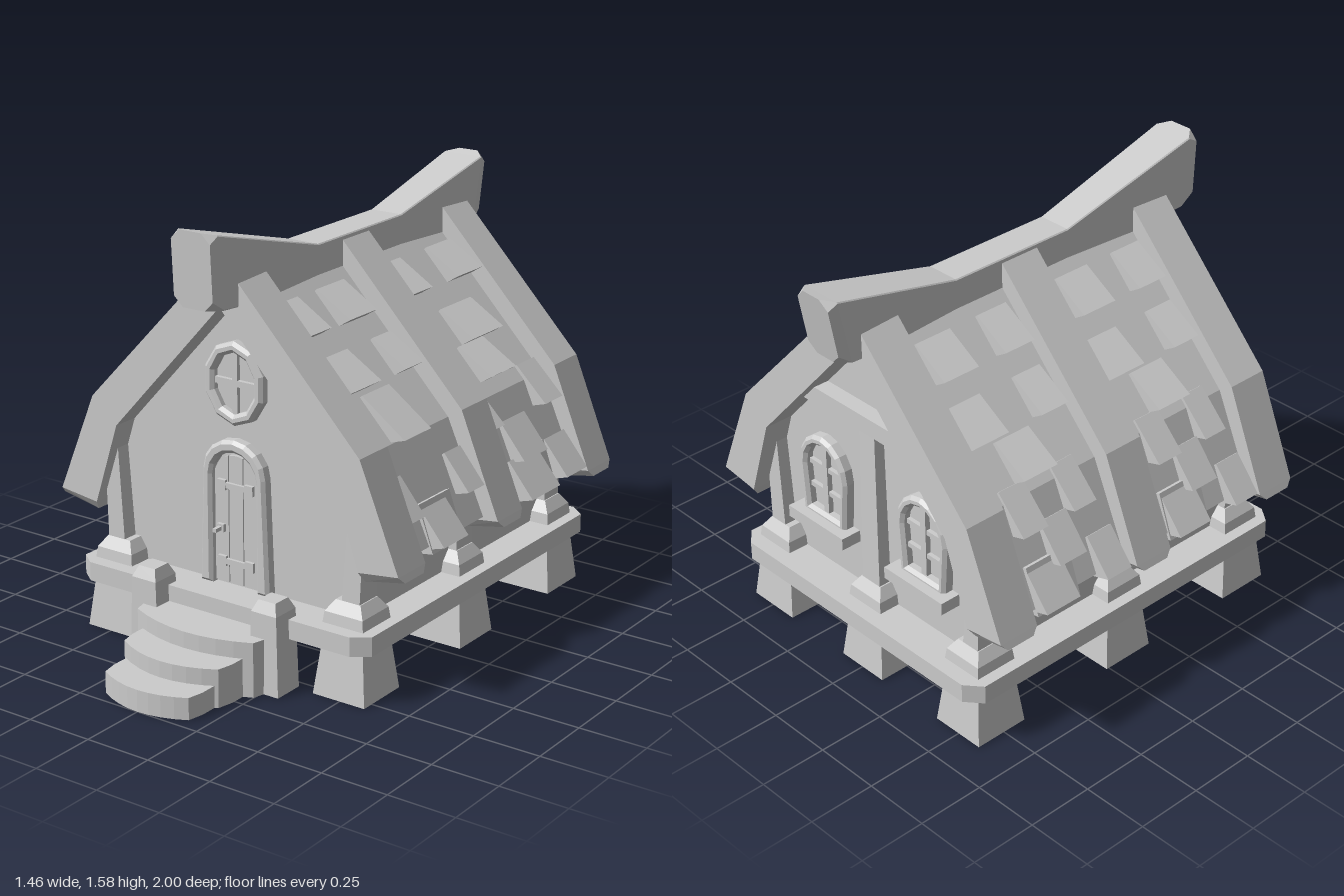
import * as THREE from 'three';

const mat = new THREE.MeshStandardMaterial({ color: 0xcccccc, flatShading: true });

function add(parent, name, geometry, x = 0, y = 0, z = 0) {
  const mesh = new THREE.Mesh(geometry, mat);
  mesh.name = name;
  mesh.position.set(x, y, z);
  parent.add(mesh);
  return mesh;
}

// Solid skinned over convex rings of equal length; winding is corrected by signed volume.
function loft(rings) {
  const tris = [], n = rings[0].length;
  const mid = r => [0, 1, 2].map(k => r.reduce((s, p) => s + p[k], 0) / n);
  for (let j = 0; j < n; j++) {
    const k = (j + 1) % n;
    for (let i = 0; i + 1 < rings.length; i++) {
      const a = rings[i], b = rings[i + 1];
      tris.push([a[j], a[k], b[k]], [a[j], b[k], b[j]]);
    }
    const first = rings[0], last = rings[rings.length - 1];
    tris.push([first[k], first[j], mid(first)], [last[j], last[k], mid(last)]);
  }
  const c = mid(rings[0]);
  let volume = 0;
  for (const t of tris) {
    const [a, b, d] = t.map(p => new THREE.Vector3(p[0] - c[0], p[1] - c[1], p[2] - c[2]));
    volume += a.dot(b.cross(d));
  }
  if (volume < 0) tris.forEach(t => t.reverse());
  const g = new THREE.BufferGeometry();
  g.setAttribute('position', new THREE.Float32BufferAttribute(tris.flat(2), 3));
  g.computeVertexNormals();
  return g;
}

// Upright block from levels [y, halfX, halfZ, shiftX]
const block = levels => loft(levels.map(([y, hx, hz, dx = 0]) =>
  [[dx - hx, y, -hz], [dx + hx, y, -hz], [dx + hx, y, hz], [dx - hx, y, hz]]));

// Slab from a plan outline of [x, z]
const plan = (pts, y0, y1) => loft([y0, y1].map(y => pts.map(([x, z]) => [x, y, z])));

// Bent roof band: steps of [outerX, outerY, innerX, innerY, inset] between z0 and z1
const band = (s, steps, z0, z1) => loft(steps.map(([ox, oy, ix, iy, e = 0]) =>
  [[s * ox, oy, z0 + e], [s * ox, oy, z1 - e], [s * ix, iy, z1 - e], [s * ix, iy, z0 + e]]));

// Points of an arch, from bottom right over the top to bottom left
function arch(w0, w1, y0, spring, top, segs = 8) {
  const pts = [[w0, y0]];
  for (let i = 0; i <= segs; i++) {
    const a = Math.PI * i / segs;
    pts.push([w1 * Math.cos(a), spring + (top - spring) * Math.sin(a)]);
  }
  pts.push([-w0, y0]);
  return pts;
}
const oval = (rx, ry, n) => Array.from({ length: n }, (_, i) => {
  const a = Math.PI / 2 + i * 2 * Math.PI / n;
  return [rx * Math.cos(a), ry * Math.sin(a)];
});

function extrude(pts, depth, hole, bevel = 0) {
  const toVec = list => list.map(p => new THREE.Vector2(...p));
  const shape = new THREE.Shape(toVec(pts));
  if (hole) shape.holes.push(new THREE.Path(toVec(hole)));
  return new THREE.ExtrudeGeometry(shape, { depth, bevelEnabled: bevel > 0, bevelSize: bevel,
    bevelOffset: -bevel, bevelThickness: bevel, bevelSegments: 1 });
}

// Outer roof surface: x at a height
const roofX = y => y > 0.835 ? 0.51 * (1.37 - y) / 0.535 : 0.51 + 0.15 * (0.835 - y) / 0.335;

// Wedge shingle with its lower edge lifted off the roof
function shingle(s, y, z0, z1) {
  const n = y > 0.835 ? [0.72, 0.69] : [0.92, 0.38];
  const yt = y + (y > 0.835 ? 0.115 : 0.14), xb = roofX(y), xt = roofX(yt);
  const profile = [[xb - 0.02, y], [xb + n[0] * 0.055, y + n[1] * 0.055],
    [xt + n[0] * 0.012, yt + n[1] * 0.012], [xt - 0.02, yt - 0.02]];
  return loft([z0, z1].map(z => profile.map(p => [s * p[0], p[1], z])));
}

export function createModel() {
  const model = new THREE.Group();
  model.name = 'cottage';

  // Platform and walls
  add(model, 'platform', plan([[-0.56, 0.575], [0.56, 0.575], [0.62, 0.53], [0.62, -0.85],
    [0.56, -0.9], [-0.56, -0.9], [-0.62, -0.85], [-0.62, 0.53]], 0.19, 0.26));
  const wall = [[-0.5, 0.25], [0.5, 0.25], [0.52, 0.46], [0.49, 0.8], [0, 1.33], [-0.49, 0.8], [-0.52, 0.46]];
  add(model, 'walls', loft([-0.76, 0.43].map(z => wall.map(([x, y]) => [x, y, z]))));

  // Stilts, post feet and posts
  const spots = [[0, -0.76]];
  for (const s of [-1, 1]) for (const z of [0.44, -0.155, -0.76]) spots.push([s * 0.495, z]);
  for (const [x, z] of spots) {
    const s = Math.sign(x);
    add(model, 'stilt', block([[0, 0.105, 0.105], [0.19, 0.083, 0.083]]), x, 0, z);
    add(model, 'postFoot', block([[0.26, 0.082, 0.082], [0.3, 0.077, 0.077], [0.34, 0.05, 0.05]]), x, 0, z);
    add(model, 'post', block(s
      ? [[0.33, 0.036, 0.05, s * 0.01], [0.7, 0.03, 0.045, s * 0.03]]
      : [[0.33, 0.045, 0.05], [0.97, 0.038, 0.04]]), x, 0, z);
  }
  add(model, 'backCrossBeam', new THREE.BoxGeometry(0.72, 0.065, 0.1), 0, 0.985, -0.77);

  // Roof panels, rafters and shingles
  const bays = [[-0.71, -0.25], [-0.08, 0.37]];
  const rightRows = [ // y, z0, z1
    [1.15, 0.24, 0.37], [1.15, -0.03, 0.13], [0.98, 0.18, 0.34], [0.98, -0.08, 0.03], [0.835, 0.1, 0.26],
    [0.6, 0.29, 0.37], [0.6, -0.08, 0.02], [1.15, -0.38, -0.25], [1.15, -0.71, -0.55], [0.98, -0.6, -0.4],
    [0.87, -0.52, -0.36], [0.74, -0.31, -0.25], [0.74, -0.71, -0.59], [0.605, -0.51, -0.35],
    [0.485, 0.1, 0.25], [0.48, -0.51, -0.32], [0.49, -0.71, -0.57]];
  const leftRows = [];
  for (const dz of [0, -0.63]) {
    for (const [y, a, b] of [[1.15, -0.04, 0.11], [1.15, 0.23, 0.36], [0.98, -0.08, 0.09], [0.98, 0.24, 0.36],
      [0.86, 0.05, 0.2], [0.73, -0.03, 0.08], [0.73, 0.2, 0.3], [0.6, 0.08, 0.2],
      [0.485, -0.03, 0.12], [0.485, 0.25, 0.36]]) leftRows.push([y, a + dz, b + dz]);
  }
  for (const s of [-1, 1]) {
    add(model, 'roofPanel', band(s, [[0, 1.37, 0, 1.3], [0.51, 0.835, 0.46, 0.78], [0.66, 0.5, 0.585, 0.475]], -0.8, 0.46));
    for (const z of [0.45, -0.165, -0.79]) {
      add(model, 'rafter', band(s, [[0.06, 1.4, 0, 1.285], [0.565, 0.87, 0.46, 0.78],
        [0.72, 0.495, 0.56, 0.475], [0.73, 0.47, 0.573, 0.44, 0.025]], z - 0.08, z + 0.08));
    }
    for (const [y, a, b] of s > 0 ? rightRows : leftRows) add(model, 'shingle', shingle(s, y, a, b));
    // Thin plates that break up the eaves
    for (const [a, b] of bays) {
      const m = (a + b) / 2 + s * 0.05;
      add(model, 'eavePlate', band(s, [[0.615, 0.64, 0.56, 0.62], [0.675, 0.475, 0.6, 0.465]], m - 0.13, m + 0.06));
    }
  }

  // Upswept ridge beam: steps of [z top, z bottom, y bottom, y top, half width, corner cut]
  const beam = [[0.68, 0.665, 1.31, 1.575, 0.08, 0.035], [0.64, 0.61, 1.305, 1.565, 0.082, 0.004],
    [0.06, 0.06, 1.26, 1.41, 0.066, 0.004], [-0.45, -0.45, 1.26, 1.41, 0.066, 0.004],
    [-0.96, -0.91, 1.29, 1.53, 0.082, 0.004], [-1, -0.955, 1.295, 1.54, 0.075, 0.035]];
  add(model, 'ridgeBeam', loft(beam.map(([zt, zb, b, t, w, c]) =>
    [[-w + c, b], [w - c, b], [w, b + c], [w, t - c], [w - c, t], [-w + c, t], [-w, t - c], [-w, b + c]]
      .map(([x, y]) => [x, y, zb + (zt - zb) * (y - b) / (t - b)]))));

  // Round-fronted steps and their newel posts
  for (const [w, side, front, h] of [[0.19, 0.95, 1, 0.08], [0.215, 0.82, 0.88, 0.14], [0.265, 0.69, 0.75, 0.2]]) {
    const pts = [[-w, 0.53], [-w, side - 0.06]];
    for (let i = 0; i <= 8; i++) {
      const t = i / 4 - 1;
      pts.push([t * w * 0.94, side + (front - side) * (1 - t * t)]);
    }
    pts.push([w, side - 0.06], [w, 0.53]);
    add(model, 'step', plan(pts, 0, h));
  }
  for (const s of [-1, 1]) {
    add(model, 'stepPost', block([[0, 0.062, 0.06], [0.29, 0.052, 0.055], [0.33, 0.035, 0.036]]), s * 0.258, 0, 0.588);
  }

  // Door: frame, planks, hinges and handle
  const door = new THREE.Group();
  door.name = 'door';
  door.position.z = 0.425;
  model.add(door);
  add(door, 'doorFrame', extrude([...arch(0.148, 0.132, 0.26, 0.68, 0.8), ...arch(0.095, 0.095, 0.26, 0.66, 0.755).reverse()], 0.035, null, 0.012));
  add(door, 'doorBacking', extrude(arch(0.1, 0.1, 0.26, 0.66, 0.76), 0.012));
  const top = x => 0.66 + 0.08 * Math.sqrt(Math.max(0, 1 - (x / 0.092) ** 2));
  for (const [a, b] of [[-0.09, -0.033], [-0.029, 0.029], [0.033, 0.09]]) {
    const pts = [[a, 0.27], [b, 0.27]];
    for (let i = 0; i <= 4; i++) pts.push([b + (a - b) * i / 4, top(b + (a - b) * i / 4)]);
    add(door, 'doorPlank', extrude(pts, 0.026));
  }
  for (const y of [0.35, 0.63]) {
    add(door, 'hinge', new THREE.BoxGeometry(0.15, 0.02, 0.014), 0, y, 0.03);
    for (const x of [-0.055, 0.062]) add(door, 'hingePlate', new THREE.BoxGeometry(0.035, 0.036, 0.018), x, y, 0.03);
  }
  add(door, 'handlePlate', new THREE.BoxGeometry(0.028, 0.028, 0.02), -0.06, 0.47, 0.03);
  add(door, 'handle', new THREE.BoxGeometry(0.014, 0.014, 0.045), -0.06, 0.47, 0.05);

  // Oval gable window
  const gable = new THREE.Group();
  gable.name = 'gableWindow';
  gable.position.set(0, 1, 0.425);
  model.add(gable);
  add(gable, 'windowFrame', extrude(oval(0.128, 0.15, 10), 0.03, oval(0.088, 0.11, 10), 0.012));
  add(gable, 'windowPane', extrude(oval(0.092, 0.115, 10), 0.012));
  add(gable, 'windowBar', new THREE.BoxGeometry(0.022, 0.22, 0.025), 0, 0, 0.015);
  add(gable, 'windowBar', new THREE.BoxGeometry(0.168, 0.022, 0.025), 0, 0, 0.015);

  // Arched back windows with sills
  for (const s of [-1, 1]) {
    const win = new THREE.Group();
    win.name = 'backWindow';
    win.position.set(s * 0.255, 0, -0.755);
    win.rotation.y = Math.PI;
    model.add(win);
    add(win, 'windowFrame', extrude(arch(0.11, 0.125, 0.46, 0.66, 0.8), 0.035, arch(0.078, 0.09, 0.49, 0.655, 0.762), 0.012));
    add(win, 'windowPane', extrude(arch(0.085, 0.095, 0.48, 0.66, 0.77), 0.012));
    add(win, 'windowBar', new THREE.BoxGeometry(0.026, 0.28, 0.03), 0, 0.625, 0.017);
    for (const y of [0.57, 0.665]) add(win, 'windowBar', new THREE.BoxGeometry(0.17, 0.018, 0.025), 0, y, 0.015);
    add(win, 'windowSill', new THREE.BoxGeometry(0.29, 0.045, 0.09), 0, 0.45, 0.04);
  }
  return model;
}
